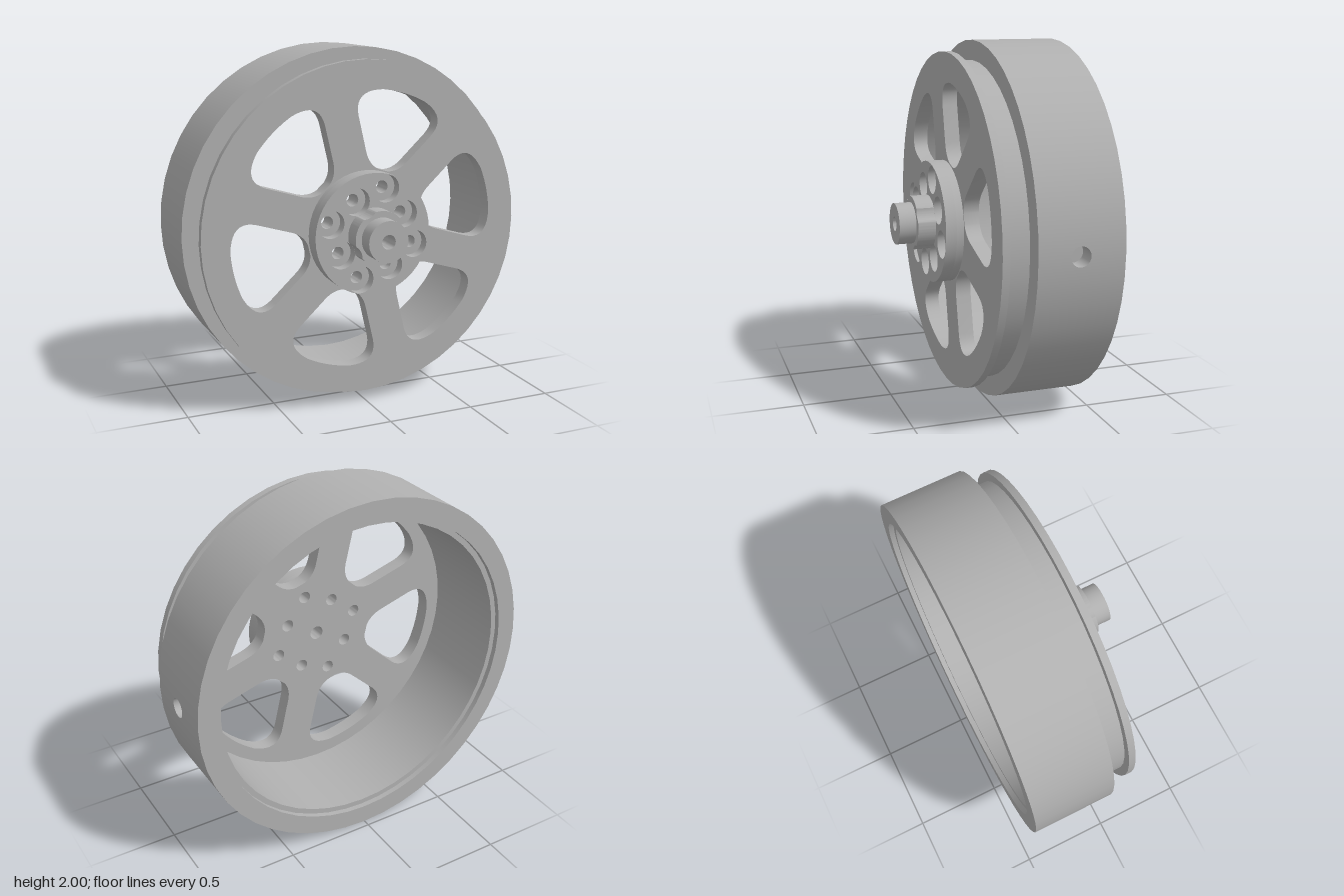
import * as THREE from 'three';
import { mergeGeometries, toCreasedNormals } from 'three/addons/utils/BufferGeometryUtils.js';

const SEG = 48;
const STEP = (Math.PI * 2) / SEG;
const BORE = 0.04;
const deg = THREE.MathUtils.degToRad;
const V = (x, y) => new THREE.Vector2(x, y);

const circle = (cx, cy, r, n) => Array.from({ length: n }, (_, i) => {
  const a = (i / n) * Math.PI * 2;
  return V(cx + r * Math.cos(a), cy + r * Math.sin(a));
});

// Plate across the wheel axis, with holes, between two depths
function plate(outline, holes, z0, z1) {
  const shape = new THREE.Shape(outline);
  shape.holes = holes.map((pts) => new THREE.Path(pts));
  const geo = new THREE.ExtrudeGeometry(shape, { depth: z1 - z0, bevelEnabled: false });
  geo.translate(0, 0, z0);
  return toCreasedNormals(geo, 0.6);
}

// Turned surface with a hard edge at every profile point; points are [radius, z]
function turned(points, start = 0, length = Math.PI * 2, segments = SEG) {
  const bands = points.slice(1).map((p, i) =>
    new THREE.LatheGeometry([V(...points[i]), V(...p)], segments, start, length));
  return mergeGeometries(bands).rotateX(Math.PI / 2);
}

// Eight bolts, alternating between two pitch radii
const bolts = Array.from({ length: 8 }, (_, i) => {
  const a = deg(28 + 45 * i);
  const r = i % 2 ? 0.26 : 0.212;
  return { a, x: r * Math.cos(a), y: r * Math.sin(a) };
});
const boltHoles = (r) => bolts.map((b) => circle(b.x, b.y, r, 24));

// Rounded window between two spokes of constant width
function windowOutline(angle) {
  const s = new THREE.Shape();
  s.moveTo(0.347, -0.03);
  s.lineTo(0.347, 0.03);
  s.quadraticCurveTo(0.36, 0.095, 0.43, 0.133);
  s.lineTo(0.6, 0.231);
  s.quadraticCurveTo(0.725, 0.298, 0.772, 0.13);
  s.quadraticCurveTo(0.795, 0, 0.772, -0.13);
  s.quadraticCurveTo(0.725, -0.298, 0.6, -0.231);
  s.lineTo(0.43, -0.133);
  s.quadraticCurveTo(0.36, -0.095, 0.347, -0.03);
  return s.getPoints(10).slice(0, -1).map((p) => p.rotateAround(V(0, 0), angle));
}

// Neck outline: a circle bitten by the four inner counterbores
function neckOutline(radius, pitch, bite) {
  return Array.from({ length: 144 }, (_, i) => {
    const a = (i / 144) * Math.PI * 2;
    let r = radius;
    for (const b of bolts.filter((_, k) => k % 2 === 0)) {
      const d = a - b.a;
      const q = bite * bite - (pitch * Math.sin(d)) ** 2;
      if (Math.cos(d) > 0 && q > 0) r = Math.min(r, pitch * Math.cos(d) - Math.sqrt(q));
    }
    return V(r * Math.cos(a), r * Math.sin(a));
  });
}

// Piece of tread around the side hole, bent onto the rim
function treadPatch(z0, z1, holeZ, holeR) {
  const shape = new THREE.Shape([
    V(-STEP, z0), V(-STEP, z1), V(0, z1), V(STEP, z1), V(STEP, z0), V(0, z0)]);
  shape.holes.push(new THREE.Path(circle(0, holeZ, holeR, 24)));
  const geo = new THREE.ShapeGeometry(shape);
  const pos = geo.attributes.position;
  const nor = geo.attributes.normal;
  for (let i = 0; i < pos.count; i++) {
    const u = pos.getX(i);
    const z = pos.getY(i);
    pos.setXYZ(i, Math.cos(u), Math.sin(u), z);
    nor.setXYZ(i, Math.cos(u), Math.sin(u), 0);
  }
  return geo;
}

export function createModel() {
  const metal = new THREE.MeshStandardMaterial({ color: 0xb0b0b0 });
  metal.name = 'grey metal';
  const wheel = new THREE.Group();
  wheel.name = 'wheel';
  const add = (name, geo) => {
    const mesh = new THREE.Mesh(geo, metal);
    mesh.name = name;
    wheel.add(mesh);
    return mesh;
  };

  // Rim: front lip, groove, shoulder, then the hollow drum with a step at the back
  add('frontLip', turned([[1, 0.005], [0.89, 0.005], [0.89, 0.125], [0.94, 0.125],
    [0.94, 0.165], [0.86, 0.165]]));
  add('drumInside', turned([[0.86, 0.165], [0.86, -0.43], [0.89, -0.43],
    [0.89, -0.46], [1, -0.46]]));
  add('tread', turned([[1, -0.46], [1, 0.005]],
    Math.PI / 2 + STEP, Math.PI * 2 - 2 * STEP, SEG - 2));
  add('treadPatch', treadPatch(-0.46, 0.005, -0.22, 0.053));

  // Blind hole in the side of the rim
  const sideHole = add('sideHole', mergeGeometries([
    new THREE.LatheGeometry([V(0.053, 0), V(0.053, -0.1)], 24),
    new THREE.LatheGeometry([V(0.053, -0.1), V(0, -0.1)], 24)]));
  sideHole.rotation.z = -Math.PI / 2;
  sideHole.position.set(1, 0, -0.22);

  // Spoked web
  const windows = Array.from({ length: 6 }, (_, i) => windowOutline(deg(13 + 60 * i)));
  const bore = circle(0, 0, BORE, 24);
  add('spokes', plate(circle(0, 0, 0.86, SEG),
    [...windows, ...boltHoles(0.035), bore], 0.08, 0.165));

  // Hub flange: bolt seats below, counterbores above
  add('hubSeat', plate(circle(0, 0, 0.34, SEG), [...boltHoles(0.035), bore], 0.165, 0.205));
  add('hubFlange', plate(circle(0, 0, 0.34, SEG), [...boltHoles(0.077), bore], 0.205, 0.265));

  // Notched neck and axle tip
  add('neck', plate(neckOutline(0.15, 0.212, 0.077), [bore], 0.265, 0.365));
  add('axleTip', plate(circle(0, 0, 0.115, SEG), [bore], 0.365, 0.46));

  wheel.position.y = 1;
  const model = new THREE.Group();
  model.name = 'wheelModel';
  model.add(wheel);
  return model;
}
